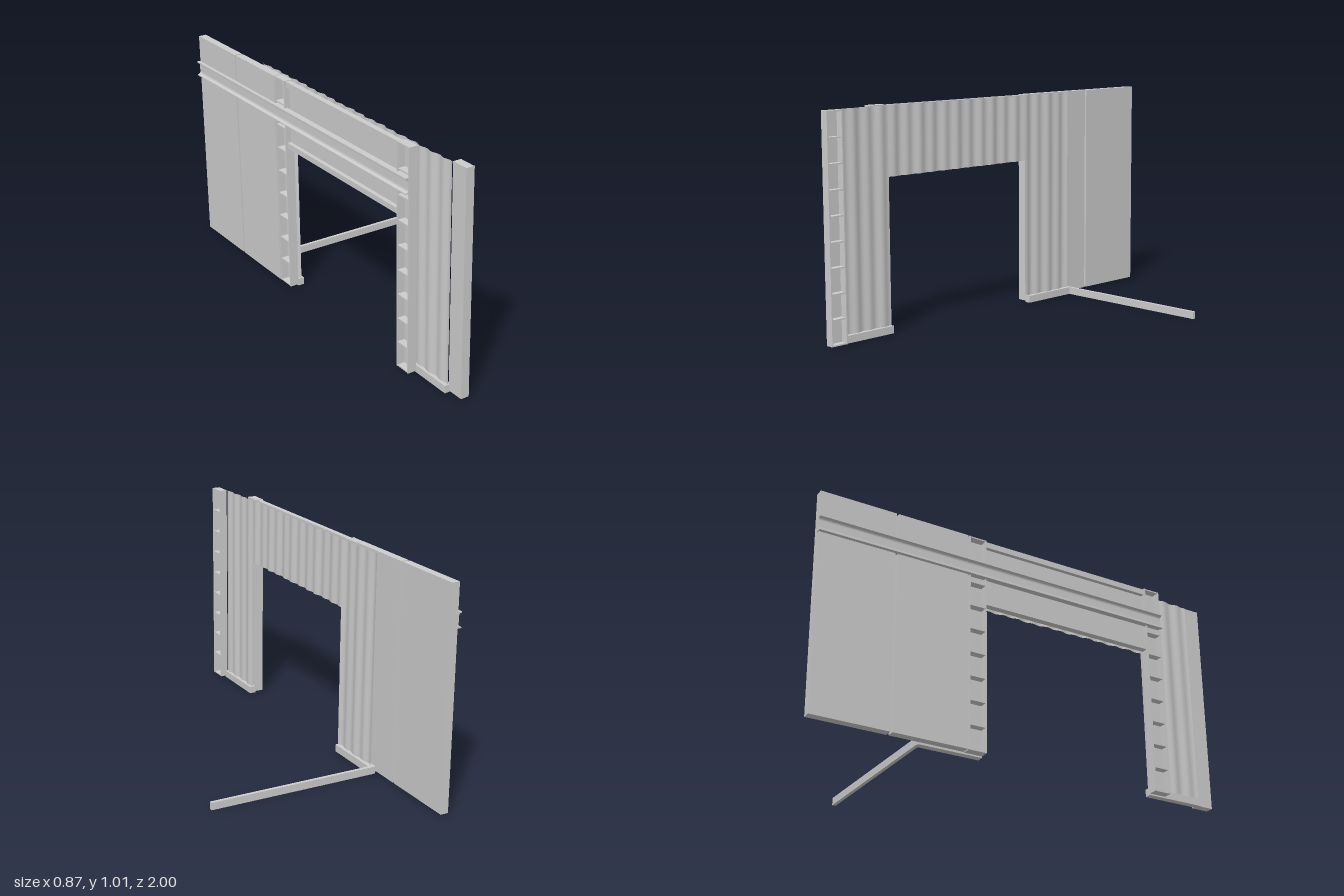
import * as THREE from 'three';

const grey = new THREE.MeshStandardMaterial({ color: 0xcccccc });
const greyDouble = new THREE.MeshStandardMaterial({ color: 0xcccccc, side: THREE.DoubleSide });

// Box given by its limits on each axis
function block(parent, name, [x0, x1], [y0, y1], [z0, z1]) {
  const mesh = new THREE.Mesh(new THREE.BoxGeometry(x1 - x0, y1 - y0, z1 - z0), grey);
  mesh.position.set((x0 + x1) / 2, (y0 + y1) / 2, (z0 + z1) / 2);
  mesh.name = name;
  parent.add(mesh);
  return mesh;
}

// Gently corrugated sheet standing in the y-z plane
function sheet(parent, name, [y0, y1], [z0, z1]) {
  const g = new THREE.PlaneGeometry(z1 - z0, y1 - y0, Math.ceil((z1 - z0) * 120), 1);
  g.rotateY(Math.PI / 2);
  g.translate(0, (y0 + y1) / 2, (z0 + z1) / 2);
  const p = g.attributes.position;
  for (let i = 0; i < p.count; i++) {
    const z = p.getZ(i);
    p.setX(i, -0.366 + 0.004 * Math.sin(z * 85) + 0.002 * Math.sin(z * 31));
  }
  g.computeVertexNormals();
  const mesh = new THREE.Mesh(g, greyDouble);
  mesh.name = name;
  parent.add(mesh);
}

// Open channel post with cross plates; open = +1 faces +x, -1 faces -x
function channelPost(parent, name, [x0, x1], [y0, y1], [z0, z1], open) {
  const post = new THREE.Group();
  post.name = name;
  const t = 0.006;
  block(post, 'web', open > 0 ? [x0, x0 + t] : [x1 - t, x1], [y0, y1], [z0, z1]);
  block(post, 'flange', [x0, x1], [y0, y1], [z0, z0 + t]);
  block(post, 'flange', [x0, x1], [y0, y1], [z1 - t, z1]);
  const plates = 9;
  for (let i = 0; i <= plates; i++) {
    const y = y0 + (y1 - y0 - t) * i / plates;
    block(post, 'crossPlate', [x0 + 0.002, x1 - 0.002], [y, y + t], [z0 + t, z1 - t]);
  }
  parent.add(post);
}

export function createModel() {
  const model = new THREE.Group();
  model.name = 'wallWithSlidingDoors';

  // Outer cladding around the opening
  sheet(model, 'frontCladding', [0.01, 1.012], [0.64, 0.92]);
  sheet(model, 'rearCladding', [0.01, 1.012], [-0.49, -0.21]);
  sheet(model, 'headerCladding', [0.7, 1.012], [-0.21, 0.64]);

  // Header frame behind the cladding
  block(model, 'headerPanel', [-0.396, -0.39], [0.7, 1.012], [-0.21, 0.64]);
  block(model, 'headerTopBeam', [-0.415, -0.39], [0.985, 1.012], [-0.21, 0.64]);
  block(model, 'headerBottomBeam', [-0.415, -0.385], [0.7, 0.725], [-0.21, 0.64]);

  // Posts
  channelPost(model, 'endPost', [-0.36, -0.321], [0.01, 1.012], [0.918, 1], 1);
  channelPost(model, 'frontJamb', [-0.422, -0.38], [0.01, 1.015], [0.64, 0.722], -1);
  channelPost(model, 'rearJamb', [-0.422, -0.38], [0.01, 1.015], [-0.295, -0.21], -1);

  // Sliding doors
  block(model, 'rearDoor', [-0.422, -0.385], [0.01, 1.015], [-1, -0.65]);
  block(model, 'frontDoor', [-0.422, -0.385], [0.01, 1.015], [-0.64, -0.3]);

  // Floor tracks, with one long arm turning away from the wall
  block(model, 'frontFloorTrack', [-0.38, -0.35], [0.003, 0.037], [0.64, 0.92]);
  block(model, 'rearFloorTrack', [-0.38, -0.35], [0.003, 0.037], [-0.505, -0.21]);
  block(model, 'floorArm', [-0.37, 0.435], [0.003, 0.037], [-0.508, -0.492]);

  // Hanging rail, a trough open to -x
  const s = new THREE.Shape();
  s.moveTo(-0.438, 0.82);
  s.lineTo(-0.41, 0.82);
  s.lineTo(-0.41, 0.89);
  s.lineTo(-0.438, 0.89);
  s.lineTo(-0.438, 0.885);
  s.quadraticCurveTo(-0.424, 0.885, -0.424, 0.87);
  s.lineTo(-0.424, 0.84);
  s.quadraticCurveTo(-0.424, 0.825, -0.438, 0.825);
  s.closePath();
  const rail = new THREE.Mesh(
    new THREE.ExtrudeGeometry(s, { depth: 1.725, bevelEnabled: false, curveSegments: 6 }), grey);
  rail.position.z = -1.003;
  rail.name = 'hangingRail';
  model.add(rail);

  return model;
}
